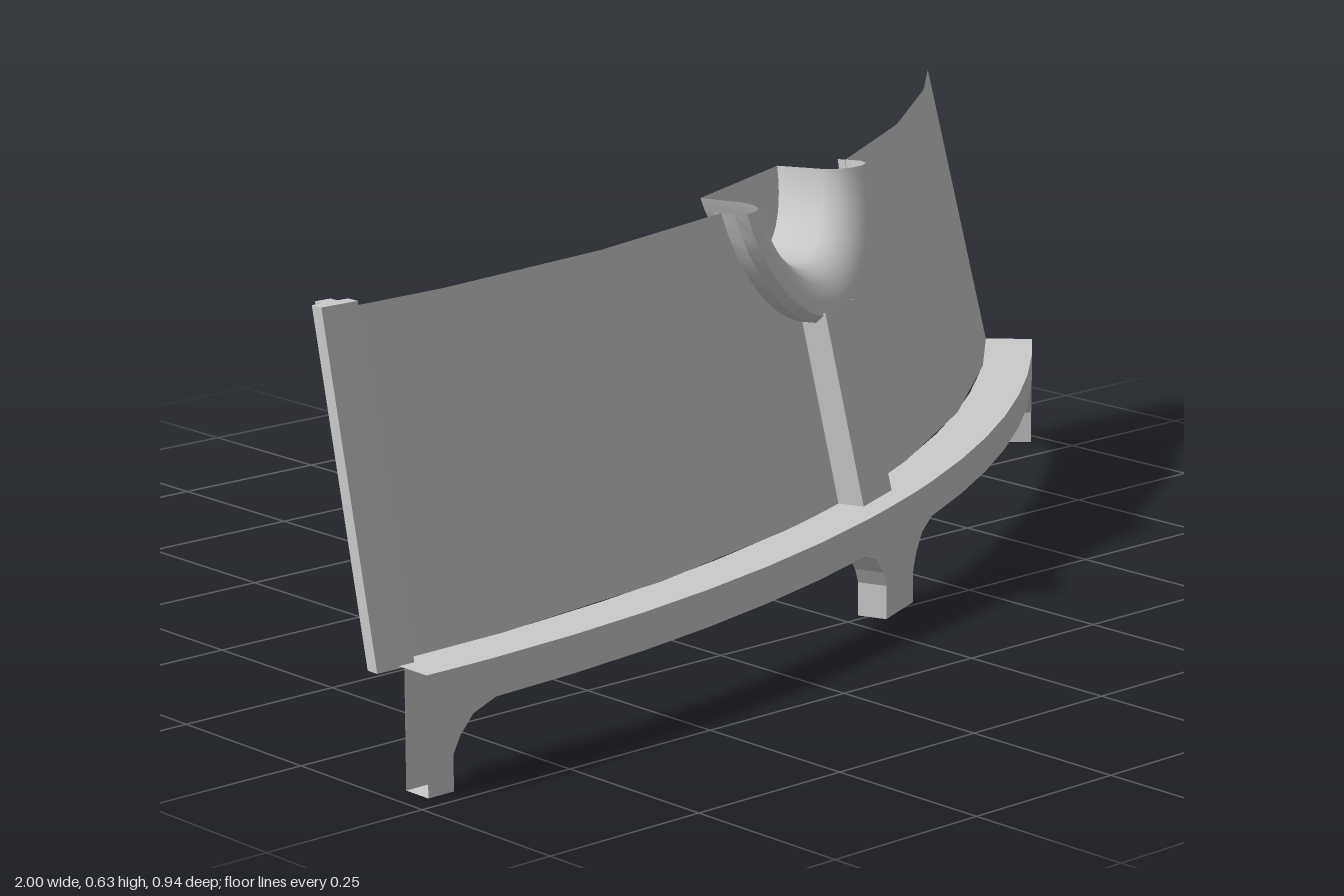
import * as THREE from 'three';
import { toCreasedNormals } from 'three/addons/utils/BufferGeometryUtils.js';

// Everything follows one eighth of a circle around the centre (CX, CZ)
const CX = -0.965, CZ = -2.306, SPAN = Math.PI / 4, MID = SPAN / 2;
const R_RAIL = 2.776, R_PANEL = 2.7, RAIL_TOP = 0.165, PANEL_TOP = 0.615;
const RING_Y = 0.65, RING_R = 0.225;

const at = (a, r, y) => new THREE.Vector3(CX + r * Math.sin(a), y, CZ + r * Math.cos(a));
// radius of the leaning panel at a height
const lean = (y) => R_PANEL - 0.1 * (y - RAIL_TOP) / (PANEL_TOP - RAIL_TOP);
// point u along the panel from angle a, h in front of it
const onPanel = (a, u, y, h) => at(a + u / 2.65, lean(y) + h, y);

const material = new THREE.MeshStandardMaterial({ color: 0xcccccc, side: THREE.DoubleSide });

// Skin rows of points, leaving out collapsed triangles
function skin(name, rows, crease = 0.08) {
  const pos = [], tri = new THREE.Triangle();
  const add = (a, b, c) => {
    if (tri.set(a, b, c).getArea() > 1e-8) for (const p of [a, b, c]) pos.push(p.x, p.y, p.z);
  };
  for (let i = 0; i + 1 < rows.length; i++) {
    for (let j = 0; j + 1 < rows[i].length; j++) {
      const a = rows[i][j], b = rows[i][j + 1], c = rows[i + 1][j + 1], d = rows[i + 1][j];
      add(a, b, c);
      add(a, c, d);
    }
  }
  const geo = new THREE.BufferGeometry();
  geo.setAttribute('position', new THREE.Float32BufferAttribute(pos, 3));
  const mesh = new THREE.Mesh(toCreasedNormals(geo, crease), material);
  mesh.name = name;
  return mesh;
}

// Rail with arched openings between three feet
function baseRail() {
  const half = R_RAIL * MID, footEnd = 0.043, footMid = half - 0.05;
  const flare = [[0, 0], [0, 0.05], [0.012, 0.073], [0.035, 0.098], [0.075, 0.112]];
  const stations = [[0, 0]];
  for (const [d, y] of flare) stations.push([footEnd + d, y]);
  for (let i = 1; i < 6; i++) {
    stations.push([THREE.MathUtils.lerp(footEnd + 0.075, footMid - 0.075, i / 6), 0.112]);
  }
  for (const [d, y] of [...flare].reverse()) stations.push([footMid - d, y]);
  const mirrored = stations.map(([s, y]) => [2 * half - s, y]).reverse();
  return skin('baseRail', [...stations, ...mirrored].map(([s, low]) => {
    const a = s / R_RAIL;
    return [
      at(a, R_PANEL - 0.002, RAIL_TOP), at(a, R_RAIL, RAIL_TOP), at(a, R_RAIL, low),
      at(a, R_RAIL - 0.045, low), at(a, R_RAIL - 0.045, RAIL_TOP),
    ];
  }));
}

// Half of the leaning panel, cut away behind the ring and the middle post
function panel(name, side) {
  const stations = [];
  for (const u of [0.05, 0.1, 0.15, 0.19, 0.215]) {
    stations.push([u / 2.65, RING_Y - Math.sqrt(RING_R ** 2 - u * u)]);
  }
  for (const a of [0.222 / 2.65, 0.2, 0.32, MID]) stations.push([a, PANEL_TOP]);
  return skin(name, stations.map(([a, top]) => {
    const t = MID + side * a;
    return [at(t, lean(RAIL_TOP), RAIL_TOP), at(t, lean(top), top)];
  }));
}

// Hollow half ring with a rounded face, running back into a trough
function ringAndTrough() {
  const profile = [
    [0.227, -0.012], [0.227, 0.022], [0.216, 0.036], [0.195, 0.038],
    [0.172, 0.03], [0.154, 0.012], [0.146, -0.01], [0.145, -0.078],
  ];
  const arc = (r, h) => {
    const a0 = Math.asin((RING_Y - PANEL_TOP) / r), pts = [];
    for (let i = 0; i <= 20; i++) {
      const a = Math.PI + a0 + (Math.PI - 2 * a0) * i / 20;
      pts.push(onPanel(MID, r * Math.cos(a), RING_Y + r * Math.sin(a), h));
    }
    return pts;
  };
  const group = new THREE.Group();
  group.name = 'halfRing';
  group.add(skin('ringAndTrough', profile.map(([r, h]) => arc(r, h)), 0.7));
  // flat wall closing the back of the trough
  const rim = arc(0.145, -0.078);
  const top = rim.map((p) => new THREE.Vector3(p.x, PANEL_TOP, p.z));
  top.forEach((p, i) => p.lerpVectors(rim[0], rim[20], (1 - Math.cos(Math.PI * i / 20)) / 2));
  group.add(skin('troughBack', [rim, top], 0.5));
  return group;
}

// Open channel post running from the rail up to the ring
function middlePost() {
  const section = [[-0.05, -0.012], [-0.05, 0.04], [0.05, 0.04], [0.05, -0.012]];
  return skin('middlePost', [RAIL_TOP, 0.445].map((y) =>
    section.map(([u, h]) => onPanel(MID, u, y, h))));
}

// T-shaped joint strip closing the right-hand end
function endStrip() {
  const section = [
    [-0.035, 0.02], [0.025, 0.02], [0.025, 0], [0.008, 0],
    [0.008, -0.015], [-0.018, -0.015], [-0.018, 0], [-0.035, 0], [-0.035, 0.02],
  ];
  const ring = (y) => section.map(([u, h]) => onPanel(0, u, y, h));
  const cap = (y) => section.map(() => onPanel(0, -0.005, y, 0.006));
  const low = RAIL_TOP - 0.003, high = 0.626;
  return skin('endStrip', [cap(low), ring(low), ring(high), cap(high)]);
}

export function createModel() {
  const model = new THREE.Group();
  model.name = 'curvedBarrier';
  model.add(
    baseRail(), panel('rightPanel', -1), panel('leftPanel', 1),
    ringAndTrough(), middlePost(), endStrip(),
  );
  return model;
}
